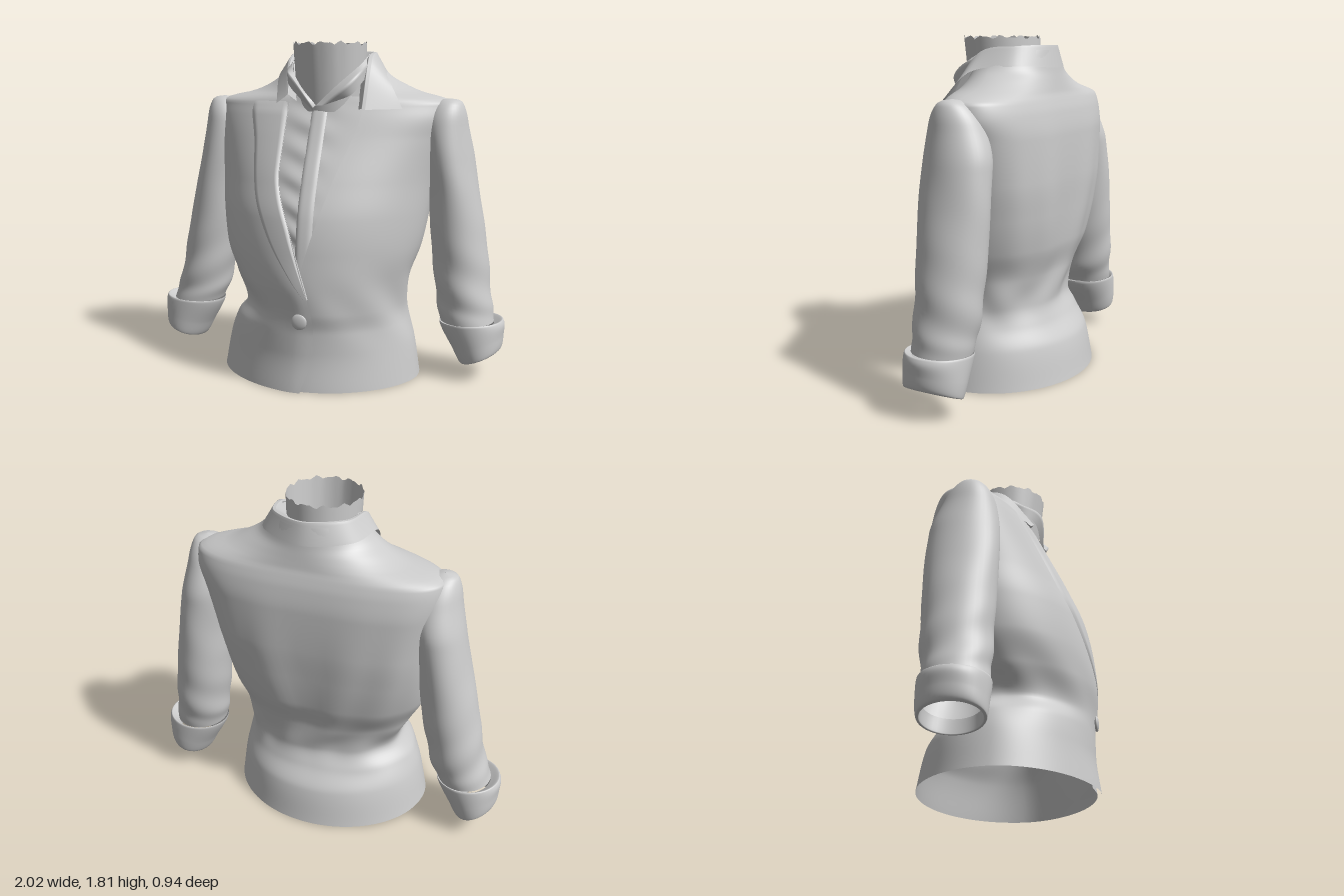
import * as THREE from 'three';

const cloth = new THREE.MeshStandardMaterial({ color: 0xcccccc, side: THREE.DoubleSide });

// Grid surface: fn(u, v) -> [x, y, z]; "closed" joins the last column to the first.
function grid(name, nu, nv, fn, closed = false) {
  const cols = closed ? nu : nu + 1, pos = [], idx = [];
  for (let j = 0; j <= nv; j++)
    for (let i = 0; i < cols; i++) pos.push(...fn(i / nu, j / nv));
  for (let j = 0; j < nv; j++)
    for (let i = 0; i < nu; i++) {
      const a = j * cols + i, b = j * cols + (i + 1) % cols;
      idx.push(a, b, a + cols, b, b + cols, a + cols);
    }
  const g = new THREE.BufferGeometry();
  g.setAttribute('position', new THREE.Float32BufferAttribute(pos, 3));
  g.setIndex(idx);
  g.computeVertexNormals();
  const m = new THREE.Mesh(g, cloth);
  m.name = name;
  return m;
}

// Monotone smooth interpolation of column c in rows sorted by their first entry.
function interp(rows, t, c = 1) {
  const n = rows.length - 1;
  t = Math.min(Math.max(t, rows[0][0]), rows[n][0]);
  let k = 0;
  while (k < n - 1 && t > rows[k + 1][0]) k++;
  const slope = i => (rows[i + 1][c] - rows[i][c]) / (rows[i + 1][0] - rows[i][0]);
  const tan = i => {
    if (i === 0) return slope(0);
    if (i === n) return slope(n - 1);
    const a = slope(i - 1), b = slope(i);
    return a * b <= 0 ? 0 : 2 * a * b / (a + b);
  };
  const h = rows[k + 1][0] - rows[k][0], s = (t - rows[k][0]) / h, s2 = s * s, s3 = s2 * s;
  return (2 * s3 - 3 * s2 + 1) * rows[k][c] + (s3 - 2 * s2 + s) * h * tan(k)
    + (3 * s2 - 2 * s3) * rows[k + 1][c] + (s3 - s2) * h * tan(k + 1);
}
const bump = (x, c, r) => Math.exp(-(((x - c) / r) ** 2));

// Torso sections: y, half width, centre x, front z, back z, widest z, back squareness
const TORSO = [
  [0, .56, 0, .46, -.47, 0, 2], [.2, .525, .005, .44, -.43, 0, 2], [.31, .49, .012, .44, -.36, .01, 2.1],
  [.41, .445, .04, .45, -.322, .02, 2.2], [.56, .488, .016, .462, -.335, .01, 2.3], [.72, .548, .005, .45, -.375, -.02, 2.5],
  [.9, .58, .005, .42, -.395, -.05, 2.8], [1.08, .603, .01, .355, -.404, -.08, 3], [1.3, .645, .02, .25, -.398, -.1, 3],
  [1.42, .67, .03, .192, -.38, -.12, 2.8], [1.485, .665, .03, .16, -.36, -.13, 2.6], [1.512, .6, .035, .15, -.35, -.13, 2.4],
  [1.537, .49, .045, .14, -.345, -.13, 2.3], [1.575, .395, .05, .13, -.338, -.125, 2.1], [1.63, .305, .05, .12, -.328, -.1, 2],
  [1.73, .225, .05, .1, -.315, -.1, 2]];
const FRONT_N = 1.8;
// Front edges of the two jacket halves: y, x
const RIGHT_EDGE = [[0, .04], [.2, .1], [.35, .105], [.5, .08], [.7, .02], [.82, -.02], [1.15, -.125], [1.6, -.13], [1.73, -.16]];
const LEFT_EDGE = [[0, -.1], [.5, 0], [.68, .05], [1.09, .17], [1.5, .28], [1.73, .27]];

function section(y) {
  const [w, cx, zf, zb, zc, nb] = [1, 2, 3, 4, 5, 6].map(c => interp(TORSO, y, c));
  return { w, cx, zf, zb, zc, nb };
}

// Point on the torso front over (x, y), lifted by off
function onFront(x, y, off = 0) {
  const s = section(y), r = Math.min(1, Math.abs(x - s.cx) / s.w);
  return [x, y, s.zc + (s.zf - s.zc) * (1 - r ** FRONT_N) ** (1 / FRONT_N) + off];
}

function jacketPoint(u, v) {
  const y = 1.73 * v, s = section(y);
  const edge = x => {
    const r = (x - s.cx) / s.w;
    return Math.sign(r) * Math.asin(Math.min(1, Math.abs(r) ** (FRONT_N / 2)));
  };
  const tl = edge(interp(LEFT_EDGE, y)), tr = edge(interp(RIGHT_EDGE, y)) + 2 * Math.PI;
  const t = tl + (tr - tl) * u, si = Math.sin(t), co = Math.cos(t);
  const n = co > 0 ? FRONT_N : s.nb, d = co > 0 ? s.zf - s.zc : s.zc - s.zb;
  // soft drag folds at the waist, a hollow down the back and back panel folds
  let k = 1 + .014 * bump(y, .45, .16) * Math.sin(9 * t + 14 * y) * Math.abs(si);
  if (co < 0) k -= co * (bump(y, .85, .4) * (.012 * Math.cos(14 * si + 3 * y) - .025 * bump(si, 0, .12))
    + .02 * bump(y, .45, .14) * Math.sin(8 * si + 16 * y));
  let z = s.zc + Math.sign(co) * d * Math.abs(co) ** (2 / n) * k;
  // the right half laps over the left half
  const lap = 1 - THREE.MathUtils.smoothstep(y, .45, .9);
  z += lap * (bump(u, 1, .06) * .012 - bump(u, 0, .08) * .014);
  return [s.cx + Math.sign(si) * s.w * Math.abs(si) ** (2 / n) * k, y, z];
}

// Strip lying on the torso front between two edges given as functions of y
function frontPatch(name, y0, y1, left, right, offset) {
  return grid(name, 20, 60, (u, v) => {
    const y = y0 + (y1 - y0) * v, a = left(y), b = right(y);
    return onFront(a + (b - a) * u, y, offset(u, y));
  });
}

// Surface passing straight through a list of 3D edge curves
function between(name, edges, nu = 60, nv = 24) {
  const curves = edges.map(e => new THREE.CatmullRomCurve3(e.map(p => new THREE.Vector3(...p))));
  return grid(name, nu, nv, (u, v) => {
    const f = v * (curves.length - 1), k = Math.min(curves.length - 2, Math.floor(f));
    return curves[k].getPoint(u).lerp(curves[k + 1].getPoint(u), f - k).toArray();
  });
}

// Sleeve sections: height order, x, y, z, x radius, z radius
const SLEEVE = [
  [0, .65, 1.508, -.1, .001, .001], [.02, .65, 1.5, -.1, .052, .05], [.06, .642, 1.465, -.102, .086, .095],
  [.12, .632, 1.39, -.11, .114, .138], [.25, .655, 1.2, -.13, .128, .182], [.4, .687, 1, -.13, .134, .187],
  [.55, .715, .8, -.13, .147, .182], [.7, .745, .6, -.128, .15, .175], [.85, .775, .42, -.12, .15, .165], [1, .805, .31, -.11, .145, .155]];
// Turned-back cuff, from its inside top around to its inside: order, x, y, z, x radius, z radius, tilt
const CUFF = [
  [0, .805, .29, -.11, .145, .15, .06], [.1, .825, .315, -.11, .17, .166, .06], [.16, .829, .305, -.11, .173, .17, .07],
  [.6, .866, .2, -.11, .138, .166, .3], [.85, .884, .122, -.108, .107, .156, .42], [.9, .884, .119, -.108, .098, .145, .42], [1, .868, .19, -.108, .1, .135, .35]];

// Mirrored tube through the sections; lean moves its upper end toward +x
function tube(name, rows, side, fold, lean) {
  return grid(name, 40, 60, (u, v) => {
    const [x, y, z, rx, rz] = [1, 2, 3, 4, 5].map(c => interp(rows, v, c));
    const tilt = rows[0].length > 6 ? interp(rows, v, 6) : 0;
    const a = u * 2 * Math.PI;
    const k = 1 + fold * (bump(v, .8, .16) * Math.sin(2 * a + 30 * v) + .5 * bump(v, .3, .15) * Math.sin(3 * a + 12 * v));
    const dx = Math.cos(a) * rx * k;
    return [side * (x + dx) + lean * (1 - v * v), y + tilt * dx, z + Math.sin(a) * rz * k];
  }, true);
}

export function createModel() {
  const model = new THREE.Group();
  model.name = 'jacketAndShirt';
  const rightEdge = y => interp(RIGHT_EDGE, y), leftEdge = y => interp(LEFT_EDGE, y);

  // Jacket body, open down the front
  model.add(grid('jacketBody', 110, 140, jacketPoint));

  // Sleeves and cuffs
  for (const [label, side] of [['left', 1], ['right', -1]]) {
    model.add(tube(label + 'Sleeve', SLEEVE, side, .03, .035));
    model.add(tube(label + 'Cuff', CUFF, side, 0, 0));
  }

  // Right lapel, raised from the chest, its top sinking into the shoulder
  const lapelOuter = [[.5, .06], [.6, -.02], [.82, -.17], [1.04, -.27], [1.3, -.32], [1.46, -.36], [1.52, -.36]];
  model.add(frontPatch('rightLapel', .5, 1.52, y => interp(lapelOuter, y), rightEdge,
    (u, y) => .014 * Math.min(1, 8 * u, 10 * (1 - u)) * Math.min(1, (1.5 - y) / .06) - .002));

  // Shirt front with a pleated placket
  model.add(frontPatch('shirtFront', .5, 1.52, y => rightEdge(y) - .06, y => leftEdge(y) + .06,
    (u, y) => -.035 + .006 * Math.sin(45 * y + 7 * u) * bump(u, .35, .25)));
  model.add(frontPatch('shirtPlacket', .6, 1.46, () => 0, () => .085,
    (u, y) => -.022 - .01 * Math.abs(2 * u - 1) ** 4));

  // Neck of the shirt, narrowing downward, with an uneven top rim
  model.add(grid('shirtNeck', 72, 12, (u, v) => {
    const a = u * 2 * Math.PI, r = .182 + .015 * v;
    const rim = v * (.007 * Math.sin(13 * a) + .005 * Math.sin(22 * a + 1));
    return [.05 + Math.sin(a) * r, 1.44 + .355 * v + rim, Math.cos(a) * r * 1.03 - .03 + .025 * v];
  }, true));

  // Shirt collar leaves
  model.add(between('rightShirtCollar', [
    [[-.15, 1.74, -.08], [-.135, 1.68, .08], [-.06, 1.58, .17], [.035, 1.475, .19]],
    [[-.17, 1.71, -.08], [-.16, 1.65, .1], [-.09, 1.61, .2], [.02, 1.46, .2]],
    [[-.175, 1.68, -.08], [-.155, 1.6, .1], [-.1, 1.55, .17], [.025, 1.44, .185]]], 24, 8));
  model.add(between('leftShirtCollar', [
    [[.25, 1.74, -.08], [.24, 1.68, .08], [.145, 1.58, .17], [.035, 1.475, .19]],
    [[.27, 1.71, -.08], [.265, 1.66, .1], [.21, 1.58, .2], [.08, 1.475, .21]],
    [[.275, 1.67, -.08], [.26, 1.59, .11], [.22, 1.53, .17], [.15, 1.5, .19]]], 24, 8));

  // Jacket collar: inside, rolled top edge and fall
  model.add(between('jacketCollar', [
    [[-.1, 1.49, .11], [-.133, 1.67, 0], [-.095, 1.69, -.135], [.05, 1.69, -.2], [.195, 1.69, -.135], [.233, 1.67, 0], [.24, 1.45, .11]],
    [[-.13, 1.53, .165], [-.165, 1.72, 0], [-.13, 1.75, -.2], [.05, 1.755, -.3], [.23, 1.75, -.2], [.265, 1.72, 0], [.28, 1.46, .18]],
    [[-.14, 1.52, .165], [-.18, 1.725, -.01], [-.145, 1.75, -.21], [.05, 1.755, -.312], [.245, 1.75, -.21], [.285, 1.72, -.01], [.3, 1.455, .18]],
    [[-.2, 1.48, .155], [-.24, 1.645, -.03], [-.19, 1.65, -.23], [.05, 1.64, -.333], [.29, 1.65, -.23], [.37, 1.62, 0], [.48, 1.46, .115]]]));

  // Front button
  const button = new THREE.Mesh(new THREE.SphereGeometry(.042, 24, 12), cloth);
  button.name = 'frontButton';
  button.scale.z = .3;
  button.position.set(...onFront(.035, .38, .012));
  model.add(button);

  return model;
}
